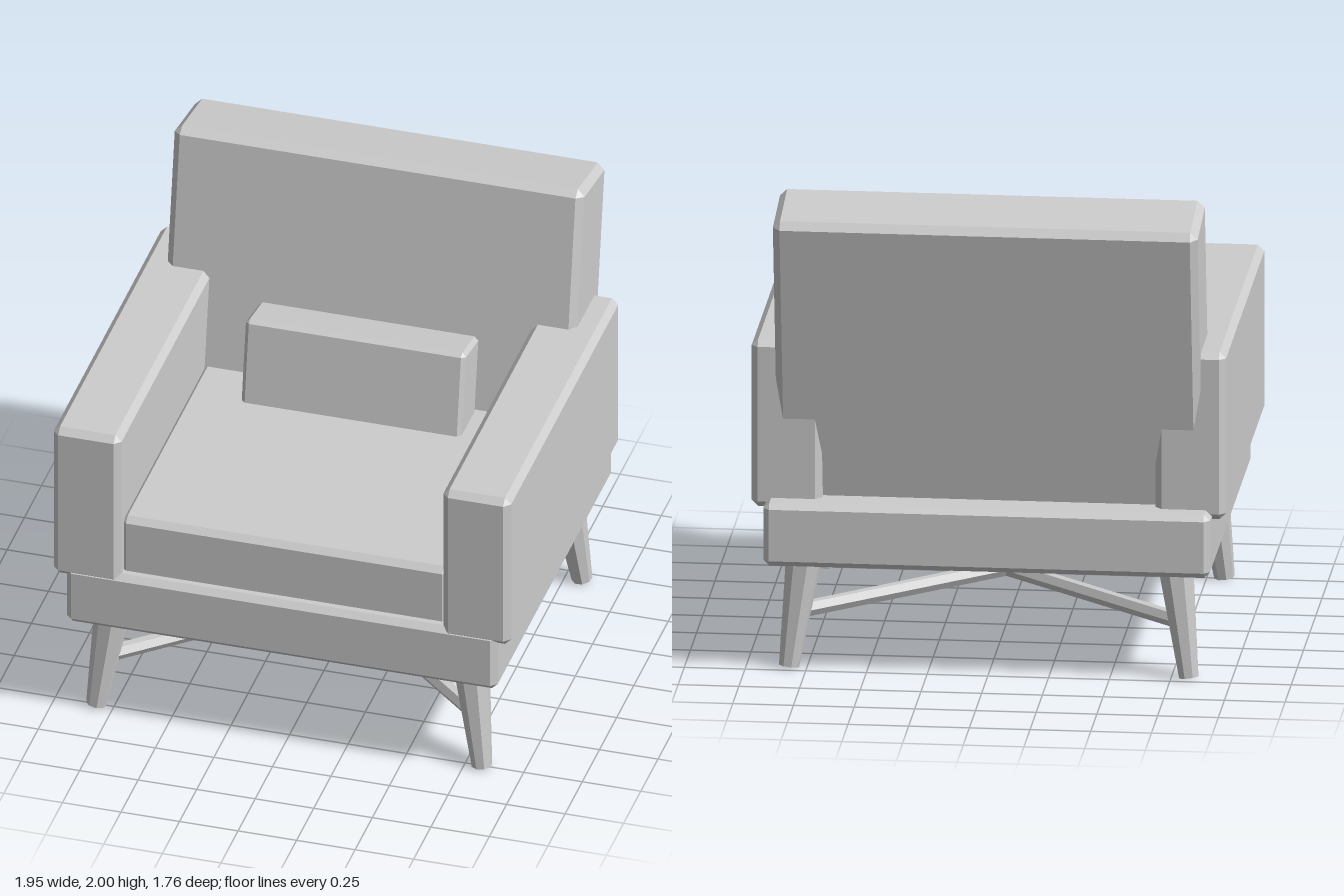
import * as THREE from 'three';
import { ConvexGeometry } from 'three/addons/geometries/ConvexGeometry.js';

// Box with chamfered edges and corners, centred on its own origin
function chamferBox(w, h, d, c) {
  const pts = [];
  for (const sx of [-1, 1]) for (const sy of [-1, 1]) for (const sz of [-1, 1]) {
    const x = w / 2, y = h / 2, z = d / 2;
    pts.push(
      new THREE.Vector3(sx * x, sy * (y - c), sz * (z - c)),
      new THREE.Vector3(sx * (x - c), sy * y, sz * (z - c)),
      new THREE.Vector3(sx * (x - c), sy * (y - c), sz * z));
  }
  return new ConvexGeometry(pts);
}

export function createModel() {
  const model = new THREE.Group();
  model.name = 'armchair';
  const grey = new THREE.MeshStandardMaterial({ color: 0xcccccc, flatShading: true });
  grey.name = 'plain grey';

  function block(name, size, pos, chamfer, tilt = 0) {
    const m = new THREE.Mesh(chamferBox(...size, chamfer), grey);
    m.name = name;
    m.position.set(...pos);
    m.rotation.x = tilt;
    model.add(m);
  }

  // Straight faceted bar from a to b
  function bar(name, a, b, ra, rb, sides) {
    const from = new THREE.Vector3(...a), to = new THREE.Vector3(...b);
    const g = new THREE.CylinderGeometry(rb, ra, from.distanceTo(to), sides);
    g.rotateY(Math.PI / sides).rotateX(Math.PI / 2);
    const m = new THREE.Mesh(g, grey);
    m.name = name;
    m.position.copy(from).add(to).multiplyScalar(0.5);
    m.lookAt(to);
    model.add(m);
  }

  // Upholstered body
  const lean = -Math.PI / 18;
  block('baseFrame', [1.84, 0.27, 1.7], [0, 0.595, 0.03], 0.025);
  block('seatCushion', [1.4, 0.285, 1.4], [0, 0.843, 0.13], 0.025);
  block('backrest', [1.75, 1.31, 0.355], [0, 1.332, -0.596], 0.03, lean);
  block('lumbarPillow', [0.94, 0.413, 0.215], [0, 1.127, -0.272], 0.017, lean);
  for (const s of [1, -1]) {
    block(s > 0 ? 'leftArm' : 'rightArm', [0.29, 0.715, 1.61], [s * 0.832, 1.043, 0.075], 0.027);
  }

  // Splayed tapered legs
  for (const s of [1, -1]) {
    const side = s > 0 ? 'Left' : 'Right';
    bar('front' + side + 'Leg', [s * 0.823, 0.007, 0.755], [s * 0.762, 0.49, 0.707], 0.043, 0.079, 8);
    bar('back' + side + 'Leg', [s * 0.823, 0.007, -0.7], [s * 0.762, 0.49, -0.65], 0.043, 0.079, 8);
    // Diagonal stretcher between opposite legs
    bar('stretcher' + side, [s * 0.795, 0.235, 0.733], [-s * 0.795, 0.235, -0.675], 0.034, 0.034, 6);
  }
  return model;
}
